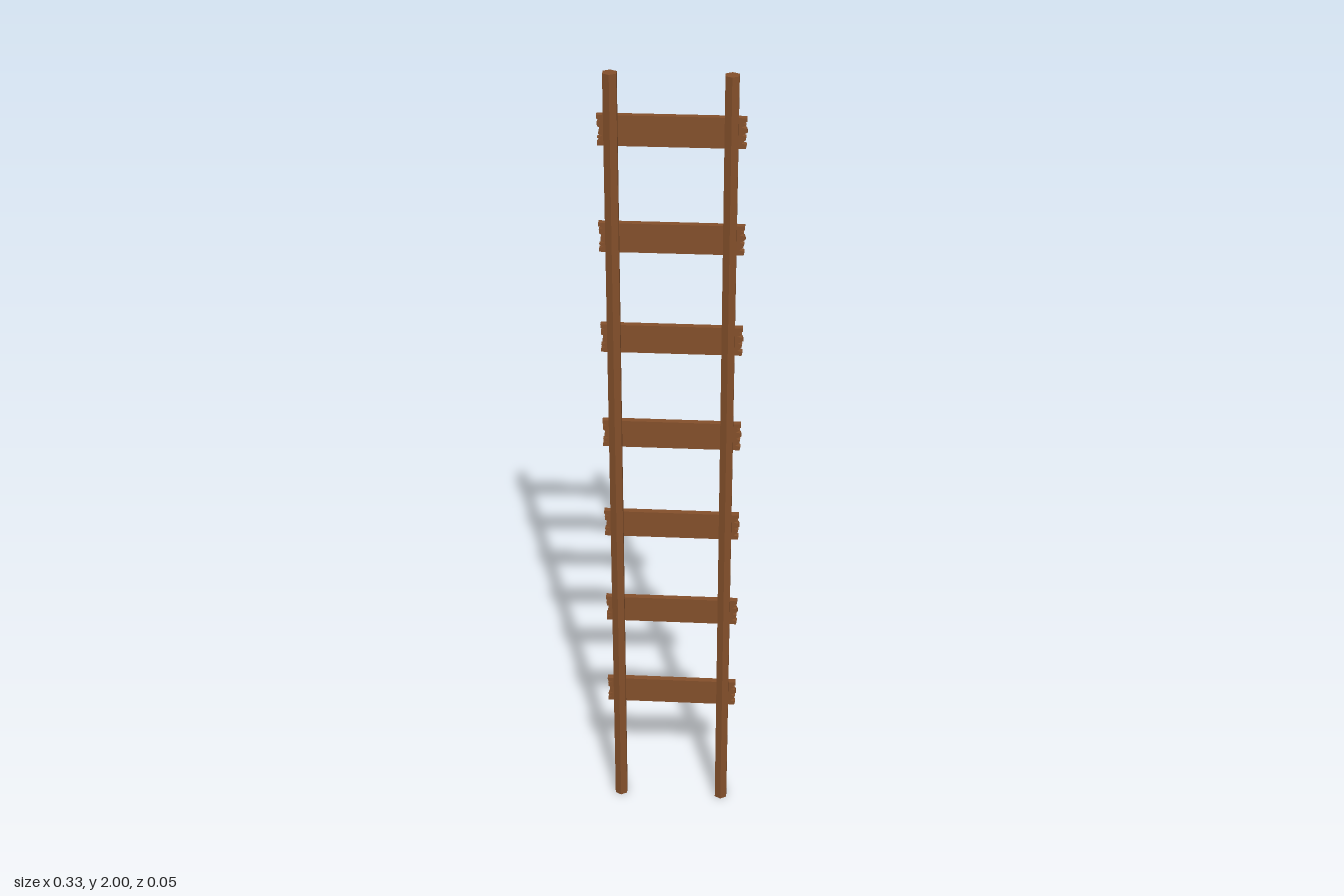
import * as THREE from 'three';

export function createModel() {
  const group = new THREE.Group();
  const wood = new THREE.MeshStandardMaterial({ color: 0x84502b, flatShading: true });

  // Two hexagonal upright poles
  const poleGeometry = new THREE.CylinderGeometry(0.0175, 0.0175, 2, 6);
  for (const [name, x] of [['leftPole', 0.131], ['rightPole', -0.134]]) {
    const pole = new THREE.Mesh(poleGeometry, wood);
    pole.name = name;
    pole.position.set(x, 1, 0.006);
    group.add(pole);
  }

  // Plank outline with splintered ends: [x, y] up the left side, then the right
  const h = 0.0355;
  const leftEnd = [[0.162, -h], [0.164, -0.026], [0.152, -0.023], [0.161, -0.016], [0.163, -0.008],
    [0.153, -0.004], [0.166, 0.003], [0.163, 0.011], [0.152, 0.014], [0.162, 0.019], [0.155, 0.024], [0.164, 0.027], [0.164, h]];
  const rightEnd = [[-0.167, h], [-0.167, 0.027], [-0.156, 0.023], [-0.166, 0.019], [-0.165, 0.009],
    [-0.154, 0.005], [-0.162, 0], [-0.163, -0.008], [-0.153, -0.012], [-0.166, -0.017], [-0.156, -0.023], [-0.166, -0.027], [-0.166, -h]];
  const outline = new THREE.Shape([...leftEnd, ...rightEnd].map(([x, y]) => new THREE.Vector2(x, y)));
  const plankGeometry = new THREE.ExtrudeGeometry(outline, { depth: 0.015, bevelEnabled: false });

  // Seven evenly spaced rungs fixed behind the poles
  for (let i = 0; i < 7; i++) {
    const rung = new THREE.Mesh(plankGeometry, wood);
    rung.name = `rung${i + 1}`;
    rung.position.set(0, 0.326 + i * 0.2558, -0.026);
    group.add(rung);
  }
  return group;
}
